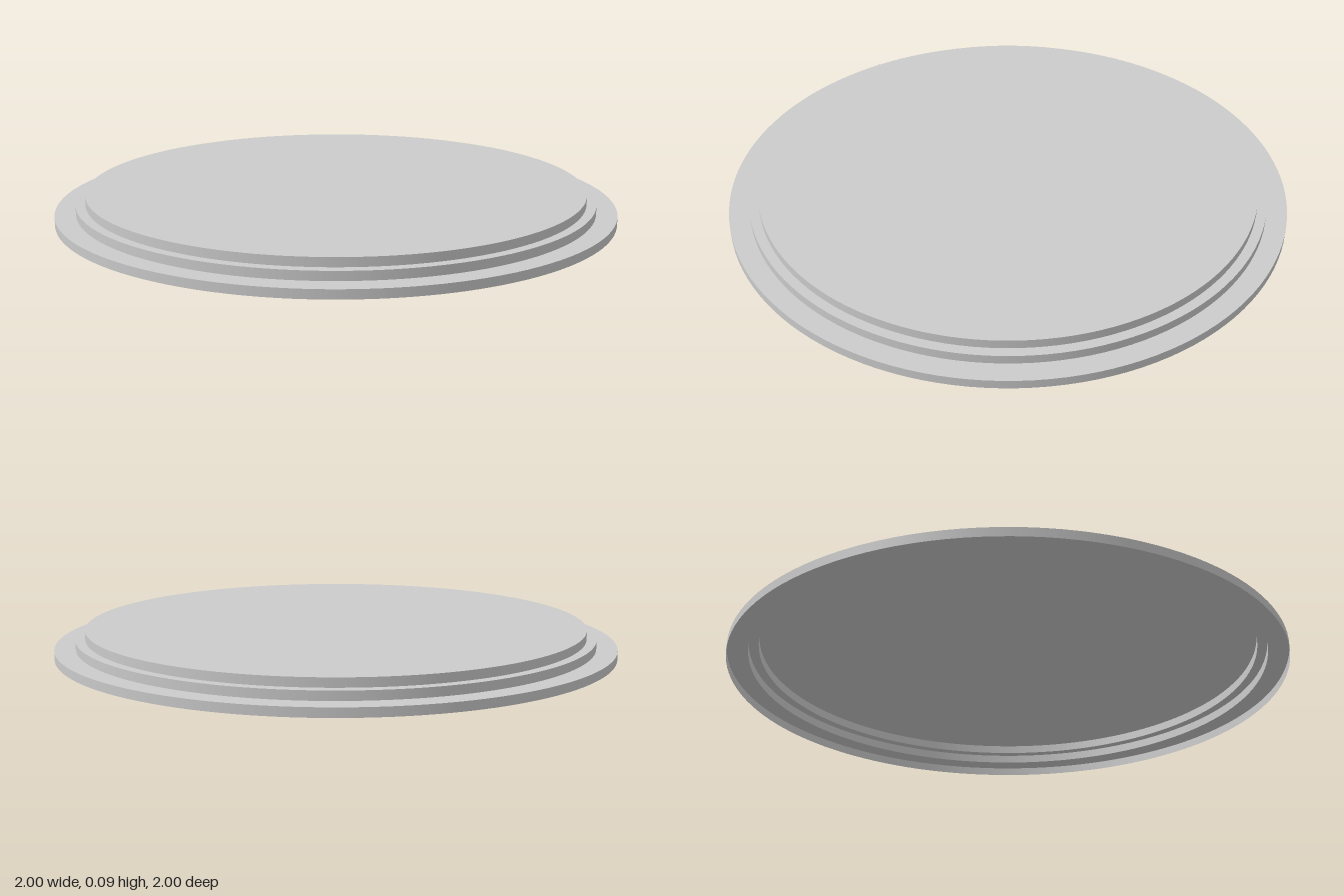
import * as THREE from 'three';

const SEGMENTS = 128;
const STEP = 0.031;
const RADII = [1, 0.927, 0.893]; // tiers from the base upward

export function createModel() {
  const group = new THREE.Group();
  group.name = 'steppedDisc';
  const material = new THREE.MeshStandardMaterial({ color: 0xcccccc, side: THREE.DoubleSide });

  const add = (name, geometry, y) => {
    const mesh = new THREE.Mesh(geometry, material);
    mesh.name = name;
    mesh.position.y = y;
    group.add(mesh);
  };

  // Thin hollow shell, open underneath: each tier is a wall and a ledge
  RADII.forEach((radius, i) => {
    const wall = new THREE.CylinderGeometry(radius, radius, STEP, SEGMENTS, 1, true);
    add(`tierWall${i + 1}`, wall, (i + 0.5) * STEP);

    // The last tier is closed by a full disc, the others by a ring
    const last = i === RADII.length - 1;
    const top = last
      ? new THREE.CircleGeometry(radius, SEGMENTS)
      : new THREE.RingGeometry(RADII[i + 1], radius, SEGMENTS);
    // Turn flat and line the corners up with the wall
    top.rotateX(-Math.PI / 2);
    add(last ? 'topPlate' : `ledge${i + 1}`, top, (i + 1) * STEP);
  });

  return group;
}
